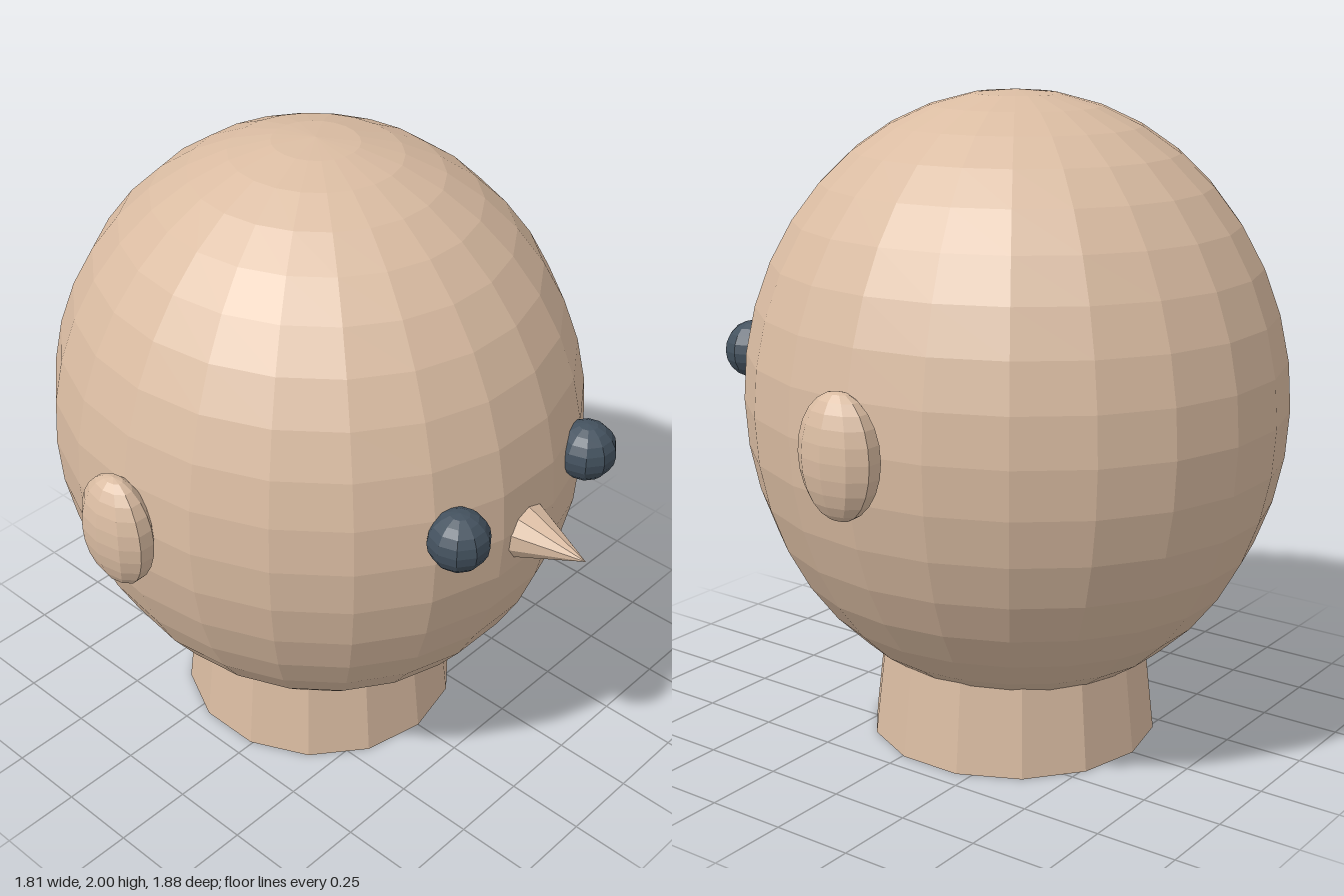
import * as THREE from 'three';

const CENTER_Z = -0.107;

export function createModel() {
  const group = new THREE.Group();
  const skin = new THREE.MeshStandardMaterial({ color: 0xdabca2, flatShading: true });
  skin.name = 'skin';
  const eyeDark = new THREE.MeshStandardMaterial({ color: 0x44525f, flatShading: true });
  eyeDark.name = 'dark slate';

  const add = (name, geometry, material, x, y, z) => {
    const mesh = new THREE.Mesh(geometry, material);
    mesh.name = name;
    mesh.position.set(x, y, z);
    group.add(mesh);
    return mesh;
  };
  const ellipsoid = (rx, ry, rz, around, down) =>
    new THREE.SphereGeometry(1, around, down).scale(rx, ry, rz);

  // Slightly egg-shaped head on a tapered neck
  add('head', ellipsoid(0.8, 0.93, 0.845, 22, 20), skin, 0, 1.07, CENTER_Z);
  add('neck', new THREE.CylinderGeometry(0.4, 0.45, 0.45, 14), skin, 0, 0.225, CENTER_Z);

  // Pointed nose, its base sunk into the face
  const nose = new THREE.ConeGeometry(0.1, 0.245, 10).rotateX(Math.PI / 2);
  add('nose', nose, skin, 0, 1.035, 0.8125);

  // Mirrored eyes and ears
  for (const [side, s] of [['left', 1], ['right', -1]]) {
    add(side + 'Eye', ellipsoid(0.092, 0.092, 0.092, 10, 10), eyeDark, s * 0.29, 1.16, 0.707);
    add(side + 'Ear', ellipsoid(0.08, 0.184, 0.134, 10, 12), skin, s * 0.827, 1.068, CENTER_Z);
  }
  return group;
}
